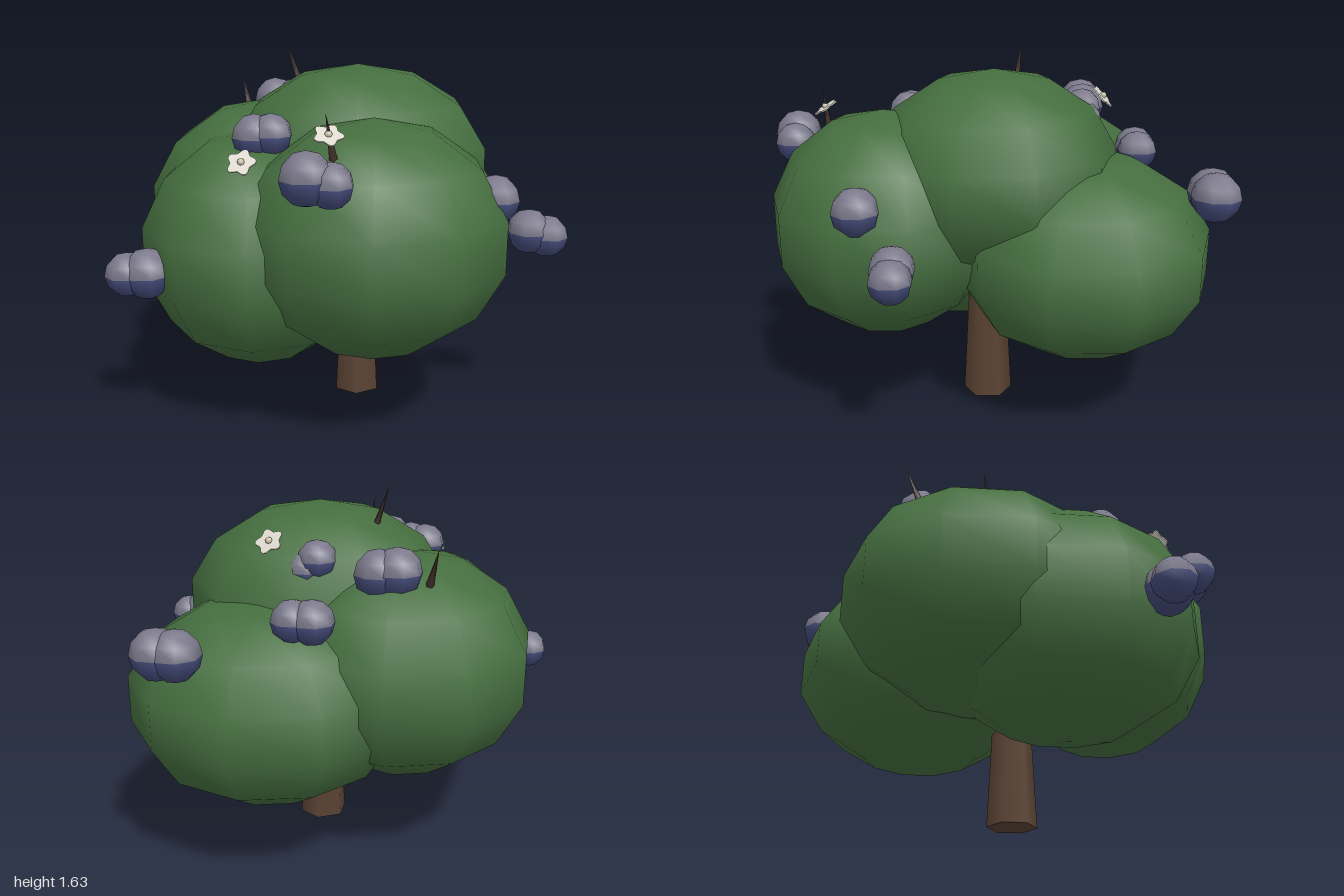
import * as THREE from 'three';

const paint = (name, color) => {
  const m = new THREE.MeshStandardMaterial({ color });
  m.name = name;
  return m;
};

export function createModel() {
  const tree = new THREE.Group();
  tree.name = 'berryTree';

  const leafGreen = paint('leafGreen', 0x456e3f);
  const barkBrown = paint('barkBrown', 0x5a4233);
  const berryBlue = paint('berryBlue', 0x434a78);
  const berryBloom = paint('berryBloom', 0x7b798b);
  const petalWhite = paint('petalWhite', 0xdcd8cc);
  petalWhite.side = THREE.DoubleSide;
  const pollenCream = paint('pollenCream', 0xcfc6b0);
  const thornBrown = paint('thornBrown', 0x40302a);

  const add = (parent, name, geometry, material, pos = [0, 0, 0]) => {
    const mesh = new THREE.Mesh(geometry, material);
    mesh.name = name;
    mesh.position.set(...pos);
    parent.add(mesh);
    return mesh;
  };
  const up = new THREE.Vector3(0, 1, 0);

  // Tapered six-sided trunk
  add(tree, 'trunk', new THREE.CylinderGeometry(0.066, 0.112, 0.9, 6), barkBrown, [0.07, 0.45, 0.03]);

  // Foliage: five overlapping squashed spheres [centre, radii]
  const leafBall = new THREE.SphereGeometry(1, 10, 7).rotateY(Math.PI / 2);
  const foliage = [
    ['topFoliage', [0.07, 1.09, 0], [0.6, 0.45, 0.56]],
    ['frontFoliage', [0.14, 0.88, 0.48], [0.57, 0.495, 0.515]],
    ['backLeftFoliage', [0.21, 0.75, -0.39], [0.615, 0.45, 0.58]],
    ['frontRightFoliage', [-0.35, 0.77, 0.21], [0.53, 0.515, 0.61]],
    ['backRightFoliage', [-0.34, 0.875, -0.147], [0.57, 0.49, 0.61]],
  ];
  for (const [name, pos, radii] of foliage) add(tree, name, leafBall, leafGreen, pos).scale.set(...radii);

  // Berries: blue lower half, pale bloom on the upper half [x, y, z, radius]
  const half = (start) =>
    new THREE.SphereGeometry(1, 8, 3, 0, Math.PI * 2, start, Math.PI / 2).rotateY(Math.PI / 8);
  const upperHalf = half(0);
  const lowerHalf = half(Math.PI / 2);
  const clusters = [
    [[0.795, 0.885, 0.39, 0.094], [0.87, 0.865, 0.39, 0.088]],
    [[-0.87, 0.735, 0.56, 0.092], [-0.785, 0.74, 0.56, 0.106]],
    [[-0.105, 1.22, 0.9, 0.104], [-0.015, 1.195, 0.9, 0.088]],
    [[-0.35, 1.28, 0.4, 0.096], [-0.28, 1.29, 0.41, 0.09]],
    [[0.625, 1.06, 0.545, 0.1]],
    [[0.415, 1.08, -0.9, 0.104], [0.49, 1.08, -0.9, 0.104]],
    [[-0.05, 1.165, -0.645, 0.092], [0.03, 1.165, -0.645, 0.088]],
    [[-0.345, 1.325, -0.42, 0.104], [-0.27, 1.315, -0.42, 0.104]],
    [[-0.01, 1.355, -0.395, 0.084], [0.04, 1.31, -0.4, 0.08]],
  ];
  for (const cluster of clusters) {
    const group = new THREE.Group();
    group.name = 'berryCluster';
    tree.add(group);
    for (const [x, y, z, r] of cluster) {
      add(group, 'berryTop', upperHalf, berryBloom, [x, y, z]).scale.setScalar(r);
      add(group, 'berryBottom', lowerHalf, berryBlue, [x, y, z]).scale.setScalar(r);
    }
  }

  // Five-petalled flowers facing away from the foliage [centre, facing]
  const outline = [];
  for (let i = 0; i < 30; i++) {
    const a = (i / 30) * Math.PI * 2;
    const r = 0.052 + 0.009 * Math.cos(5 * a);
    outline.push(new THREE.Vector2(r * Math.cos(a), r * Math.sin(a)));
  }
  const petals = new THREE.ExtrudeGeometry(new THREE.Shape(outline), { depth: 0.006, bevelEnabled: false })
    .rotateX(-Math.PI / 2);
  const flowerHeart = new THREE.SphereGeometry(0.015, 8, 5);
  const flowers = [
    [[-0.03, 1.35, 0.755], [0.1, 0.82, 0.5]],
    [[-0.37, 1.225, 0.66], [-0.1, 0.7, 0.7]],
    [[0.17, 1.435, -0.46], [0.15, 0.68, -0.7]],
  ];
  for (const [pos, facing] of flowers) {
    const flower = new THREE.Group();
    flower.name = 'flower';
    flower.position.set(...pos);
    flower.quaternion.setFromUnitVectors(up, new THREE.Vector3(...facing).normalize());
    add(flower, 'petals', petals, petalWhite);
    add(flower, 'flowerHeart', flowerHeart, pollenCream, [0, 0.008, 0]);
    tree.add(flower);
  }

  // Thorns [base, tip]
  const thorns = [
    [[-0.19, 1.42, -0.105], [-0.26, 1.63, -0.13]],
    [[-0.475, 1.28, -0.42], [-0.515, 1.44, -0.49]],
    [[-0.01, 1.25, 0.74], [-0.04, 1.44, 0.77]],
  ];
  for (const [base, tip] of thorns) {
    const a = new THREE.Vector3(...base);
    const dir = new THREE.Vector3(...tip).sub(a);
    const length = dir.length();
    const cone = new THREE.ConeGeometry(0.018, length, 5).translate(0, length / 2, 0);
    add(tree, 'thorn', cone, thornBrown, base).quaternion.setFromUnitVectors(up, dir.normalize());
  }

  return tree;
}
